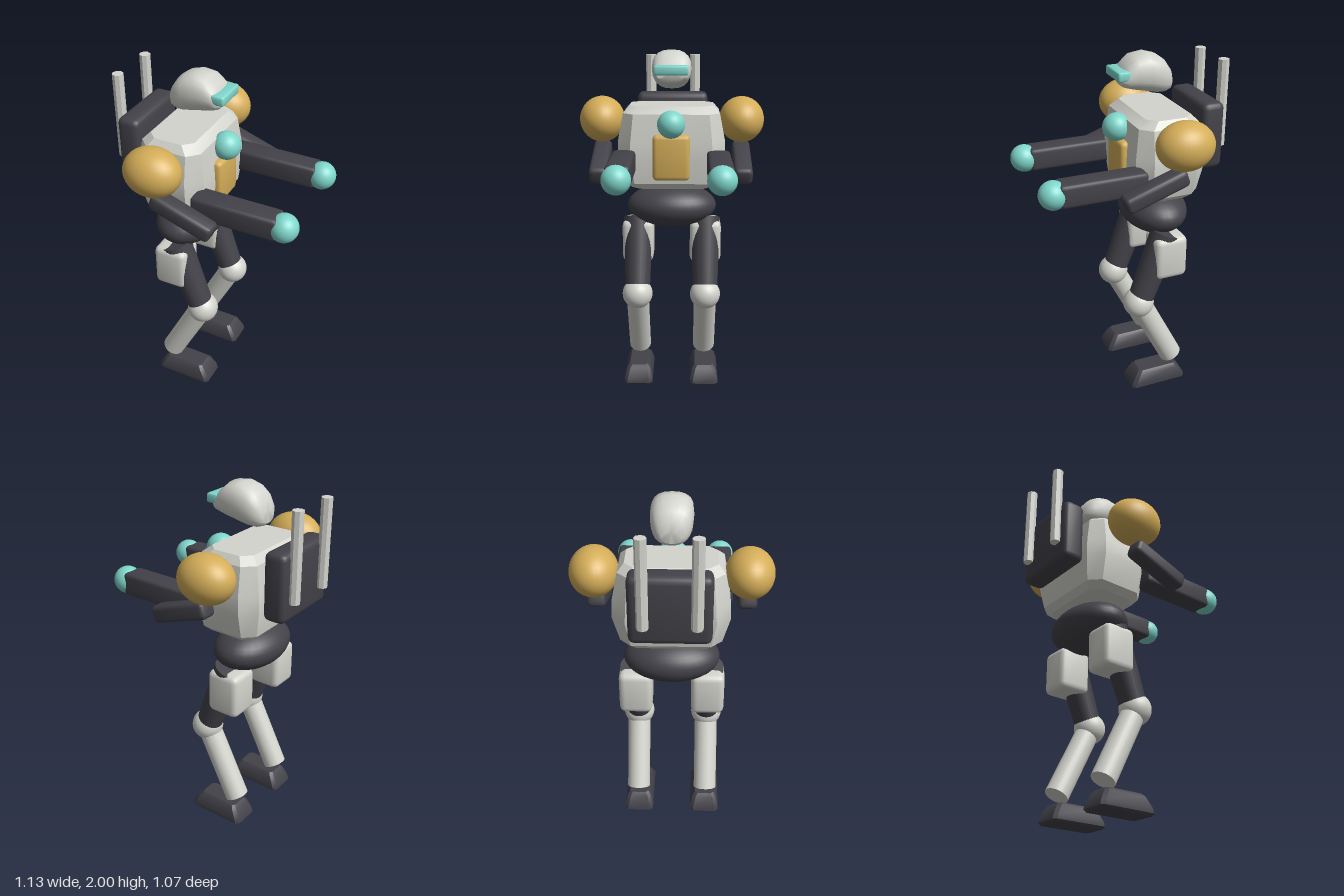
import * as THREE from 'three';
import { toCreasedNormals } from 'three/addons/utils/BufferGeometryUtils.js';
import { RoundedBoxGeometry } from 'three/addons/geometries/RoundedBoxGeometry.js';

const paint = (name, color) => {
  const m = new THREE.MeshStandardMaterial({ color });
  m.name = name;
  return m;
};

// Skin a stack of equal-length rings (counterclockwise seen from the last one) and cap both ends
function loft(rings, crease) {
  const n = rings[0].length, pos = [], idx = [];
  rings.forEach(r => r.forEach(p => pos.push(...p)));
  for (let i = 0; i < rings.length - 1; i++) {
    for (let j = 0; j < n; j++) {
      const k = (j + 1) % n, a = i * n + j, b = i * n + k;
      idx.push(a, b, b + n, a, b + n, a + n);
    }
  }
  const last = (rings.length - 1) * n;
  for (let j = 1; j < n - 1; j++) {
    idx.push(0, j + 1, j, last, last + j, last + j + 1);
  }
  const g = new THREE.BufferGeometry();
  g.setAttribute('position', new THREE.Float32BufferAttribute(pos, 3));
  g.setIndex(idx);
  return toCreasedNormals(g, crease);
}

// Horizontal rectangle with cut corners
function cutRect(y, x0, x1, w, c) {
  return [
    [x0 + c, y, w], [x1 - c, y, w], [x1, y, w - c], [x1, y, c - w],
    [x1 - c, y, -w], [x0 + c, y, -w], [x0, y, c - w], [x0, y, w - c],
  ];
}

export function createModel() {
  const light = paint('light armour', 0xd4d4ce);
  const dark = paint('dark frame', 0x434249);
  const gold = paint('gold armour', 0xd4ad58);
  const teal = paint('teal glow', 0x7fd6cb);

  const model = new THREE.Group();
  model.name = 'robot';

  const add = (parent, name, geometry, material, x = 0, y = 0, z = 0) => {
    const mesh = new THREE.Mesh(geometry, material);
    mesh.name = name;
    mesh.position.set(x, y, z);
    parent.add(mesh);
    return mesh;
  };
  const box = (w, h, d, r) => toCreasedNormals(new RoundedBoxGeometry(w, h, d, 2, r), 0.6);
  const ball = (rx, ry = rx, rz = rx) => new THREE.SphereGeometry(1, 32, 20).scale(rx, ry, rz);

  // Round limb between two points in the x-y plane
  const limb = (parent, name, material, a, b, z, rA, rB) => {
    const dx = b[0] - a[0], dy = b[1] - a[1];
    const g = new THREE.CylinderGeometry(rB, rA, Math.hypot(dx, dy), 24);
    const mesh = add(parent, name, g, material, (a[0] + b[0]) / 2, (a[1] + b[1]) / 2, z);
    mesh.rotation.z = Math.atan2(-dx, dy);
  };

  // Torso, tapering to top and bottom
  add(model, 'torso', loft([
    cutRect(1.22, -0.33, -0.03, 0.23, 0.05),
    cutRect(1.255, -0.365, 0, 0.27, 0.06),
    cutRect(1.4, -0.39, 0.015, 0.31, 0.075),
    cutRect(1.5, -0.385, 0.01, 0.305, 0.075),
    cutRect(1.65, -0.36, -0.01, 0.275, 0.06),
    cutRect(1.69, -0.32, -0.06, 0.24, 0.05),
  ], 0.5), light);
  add(model, 'chestPlate', box(0.09, 0.26, 0.21, 0.025), gold, 0, 1.41, 0);
  add(model, 'chestLamp', ball(0.078), teal, 0.03, 1.6, 0);
  add(model, 'pelvis', ball(0.187, 0.128, 0.265), dark, -0.19, 1.088, 0);

  // Helmet: cross-sections from back to front as x, bottom, top, half width
  const helmet = [
    [-0.275, 1.8, 1.86, 0.05], [-0.262, 1.785, 1.91, 0.075], [-0.23, 1.775, 1.955, 0.097],
    [-0.19, 1.777, 1.983, 0.108], [-0.13, 1.79, 2, 0.112], [-0.06, 1.805, 1.99, 0.109],
    [-0.015, 1.817, 1.95, 0.1], [0.008, 1.827, 1.915, 0.092], [0.02, 1.845, 1.885, 0.08],
  ];
  const soften = v => Math.sign(v) * Math.abs(v) ** 0.8;
  add(model, 'helmet', loft(helmet.map(([x, lo, hi, w]) =>
    Array.from({ length: 20 }, (_, i) => {
      const t = i / 20 * Math.PI * 2;
      return [x, (lo + hi) / 2 + (hi - lo) / 2 * soften(Math.cos(t)), w * soften(Math.sin(t))];
    })), 0.7), light);
  add(model, 'visor', box(0.075, 0.052, 0.19, 0.012), teal, 0.017, 1.896, 0);

  // Backpack
  add(model, 'backpack', box(0.13, 0.375, 0.425, 0.035), dark, -0.455, 1.545, 0);

  for (const s of [1, -1]) {
    const antenna = new THREE.CylinderGeometry(0.031, 0.031, 0.485, 8);
    add(model, 'antenna', toCreasedNormals(antenna, 0.5), light, -0.535, 1.708, s * 0.135);

    // Arm
    const arm = new THREE.Group();
    arm.name = 'arm';
    model.add(arm);
    add(arm, 'shoulder', ball(0.16, 0.132, 0.13), gold, -0.188, 1.602, s * 0.405);
    add(arm, 'upperArm', box(0.365, 0.095, 0.103, 0.025), dark, -0.025, 1.382, s * 0.402)
      .rotation.z = -0.33;
    add(arm, 'forearm', box(0.485, 0.13, 0.132, 0.022), dark, 0.22, 1.385, s * 0.268);
    add(arm, 'hand', ball(0.078), teal, 0.485, 1.385, s * 0.27);

    // Leg
    const leg = new THREE.Group();
    leg.name = 'leg';
    model.add(leg);
    add(leg, 'hipArmour', box(0.195, 0.255, 0.185, 0.035), light, -0.192, 0.875, s * 0.202);
    limb(leg, 'thigh', dark, [-0.19, 1.01], [-0.03, 0.58], s * 0.202, 0.088, 0.073);
    add(leg, 'knee', ball(0.09), light, -0.025, 0.578, s * 0.202);
    limb(leg, 'shin', light, [-0.03, 0.57], [-0.24, 0.155], s * 0.202, 0.067, 0.067);
    add(leg, 'foot', loft([
      cutRect(0, -0.295, 0.025, 0.075, 0.015),
      cutRect(0.012, -0.307, 0.038, 0.085, 0.018),
      cutRect(0.035, -0.302, 0.034, 0.085, 0.018),
      cutRect(0.092, -0.272, 0, 0.07, 0.018),
      cutRect(0.11, -0.255, -0.02, 0.055, 0.015),
    ], 0.5), dark, 0, 0, s * 0.2);
  }
  return model;
}
